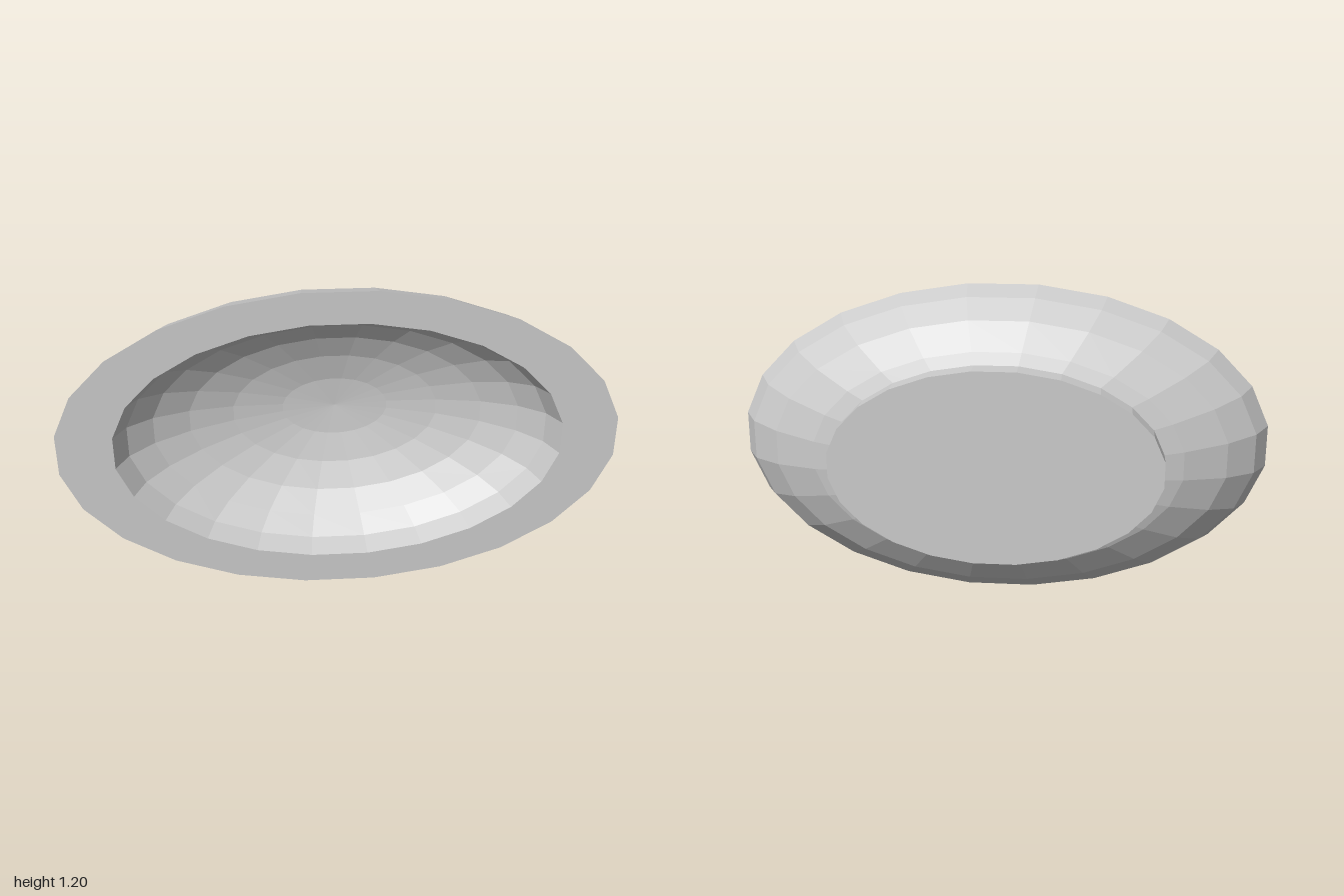
import * as THREE from 'three';

const SIDES = 24;
const HALF = Math.PI / SIDES;   // flats face the main axes
const RATIO = 0.6;              // oval height to width

// Turns a profile of [radius across flats, z] into an oval ring of facets
function ovalLathe(name, profile, material) {
  const points = profile.map(([r, z]) => new THREE.Vector2(r / Math.cos(HALF), z));
  const geometry = new THREE.LatheGeometry(points, SIDES, HALF);
  geometry.rotateX(Math.PI / 2);
  geometry.scale(1, RATIO, 1);
  const mesh = new THREE.Mesh(geometry, material);
  mesh.name = name;
  mesh.position.y = 0.6;
  return mesh;
}

export function createModel() {
  const group = new THREE.Group();
  group.name = 'ovalBowl';
  const material = new THREE.MeshStandardMaterial({ color: 0xcccccc, flatShading: true });

  const rimZ = 0.186;
  const step = THREE.MathUtils.degToRad(14.1);
  const rings = 6;

  // Shallow dome ring: radius, and depth below the rim
  const ring = (k, scale) => {
    const r = scale * Math.sin(k * step) / Math.sin(rings * step);
    const depth = scale * 0.41 * (Math.cos(k * step) - Math.cos(rings * step));
    return [r, rimZ - depth];
  };

  // Bowl: outer wall up to the rim, flat rim, then hollow down to the centre
  const profile = [];
  for (let k = 2; k <= rings; k++) profile.push(ring(k, 1));
  for (let k = rings; k >= 0; k--) profile.push(ring(k, 0.8));
  group.add(ovalLathe('bowl', profile, material));

  // Foot: flat back, straight wall, small ledge tucked under the bowl
  const foot = [[0, -0.185], [0.604, -0.185], [0.604, -0.1], [0.56, -0.1]];
  group.add(ovalLathe('foot', foot, material));

  return group;
}
